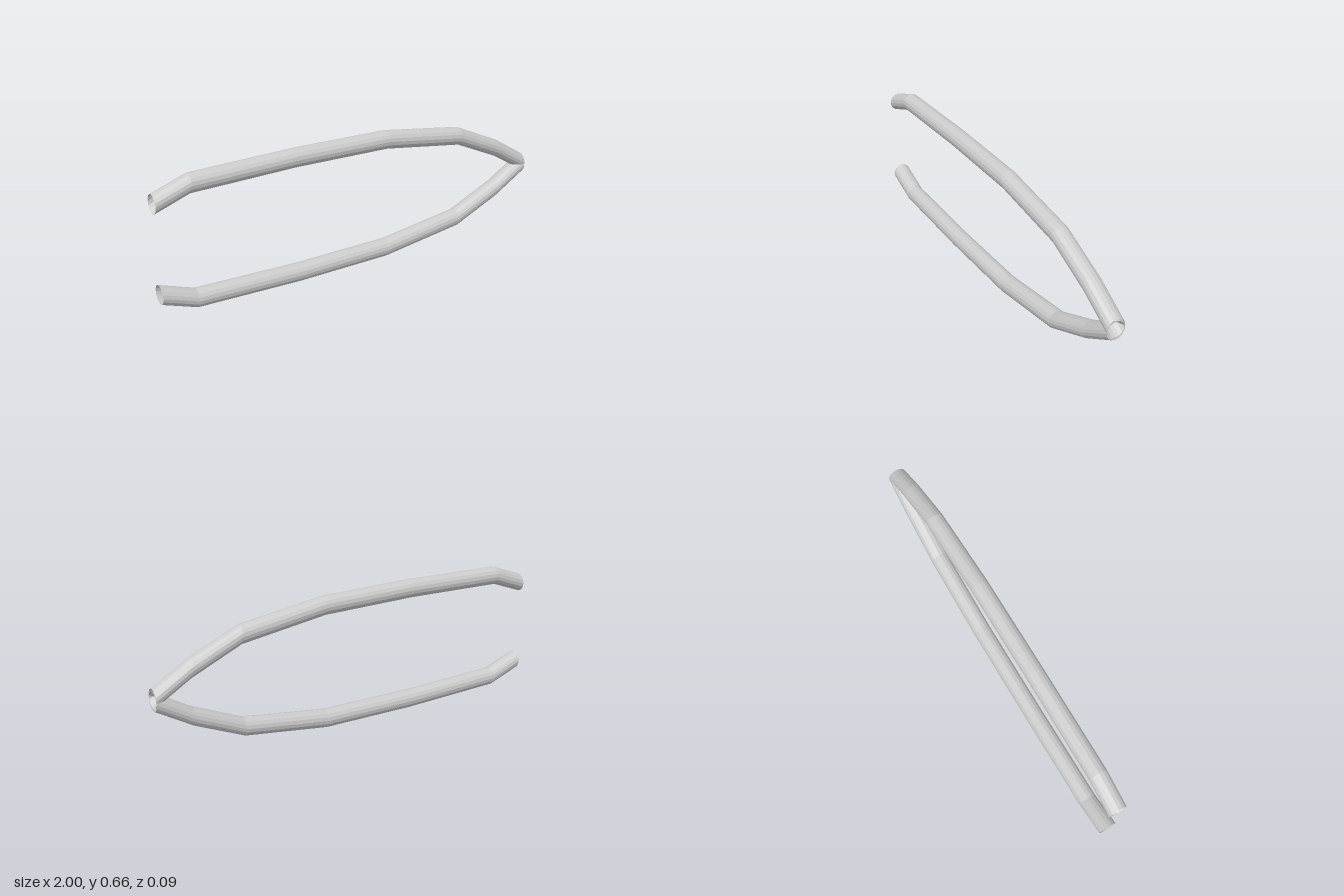
import * as THREE from 'three';

const SIDES = 16;
const RADIUS = 0.0445;
const MID_Y = 0.329;

// Centreline of the upper arm, from the open end to the joined tip: [x, y]
const PATH = [
  [-1, 0.541], [-0.834, 0.601], [-0.32, 0.6135], [0.16, 0.6075],
  [0.585, 0.547], [0.828, 0.439], [1, 0.3355],
];

// Open tube lofted through upright rings; sign -1 mirrors it below the middle
function armGeometry(sign) {
  const positions = [];
  const index = [];
  for (const [x, y] of PATH) {
    for (let i = 0; i < SIDES; i++) {
      const a = (i / SIDES) * Math.PI * 2;
      const cy = MID_Y + sign * (y - MID_Y);
      positions.push(x, cy + Math.sin(a) * RADIUS, Math.cos(a) * RADIUS);
    }
  }
  for (let r = 0; r < PATH.length - 1; r++) {
    for (let i = 0; i < SIDES; i++) {
      const a = r * SIDES + i;
      const b = r * SIDES + (i + 1) % SIDES;
      index.push(a, a + SIDES, b, b, a + SIDES, b + SIDES);
    }
  }
  const geometry = new THREE.BufferGeometry();
  geometry.setAttribute('position', new THREE.Float32BufferAttribute(positions, 3));
  geometry.setIndex(index);
  geometry.computeVertexNormals();
  return geometry;
}

export function createModel() {
  const group = new THREE.Group();
  group.name = 'bowedTubeFrame';
  const material = new THREE.MeshStandardMaterial({
    color: 0xcccccc, flatShading: true, side: THREE.DoubleSide,
  });

  // Two mirrored arms that cross into each other at the tip
  for (const [name, sign] of [['upperArm', 1], ['lowerArm', -1]]) {
    const arm = new THREE.Mesh(armGeometry(sign), material);
    arm.name = name;
    group.add(arm);
  }
  return group;
}
